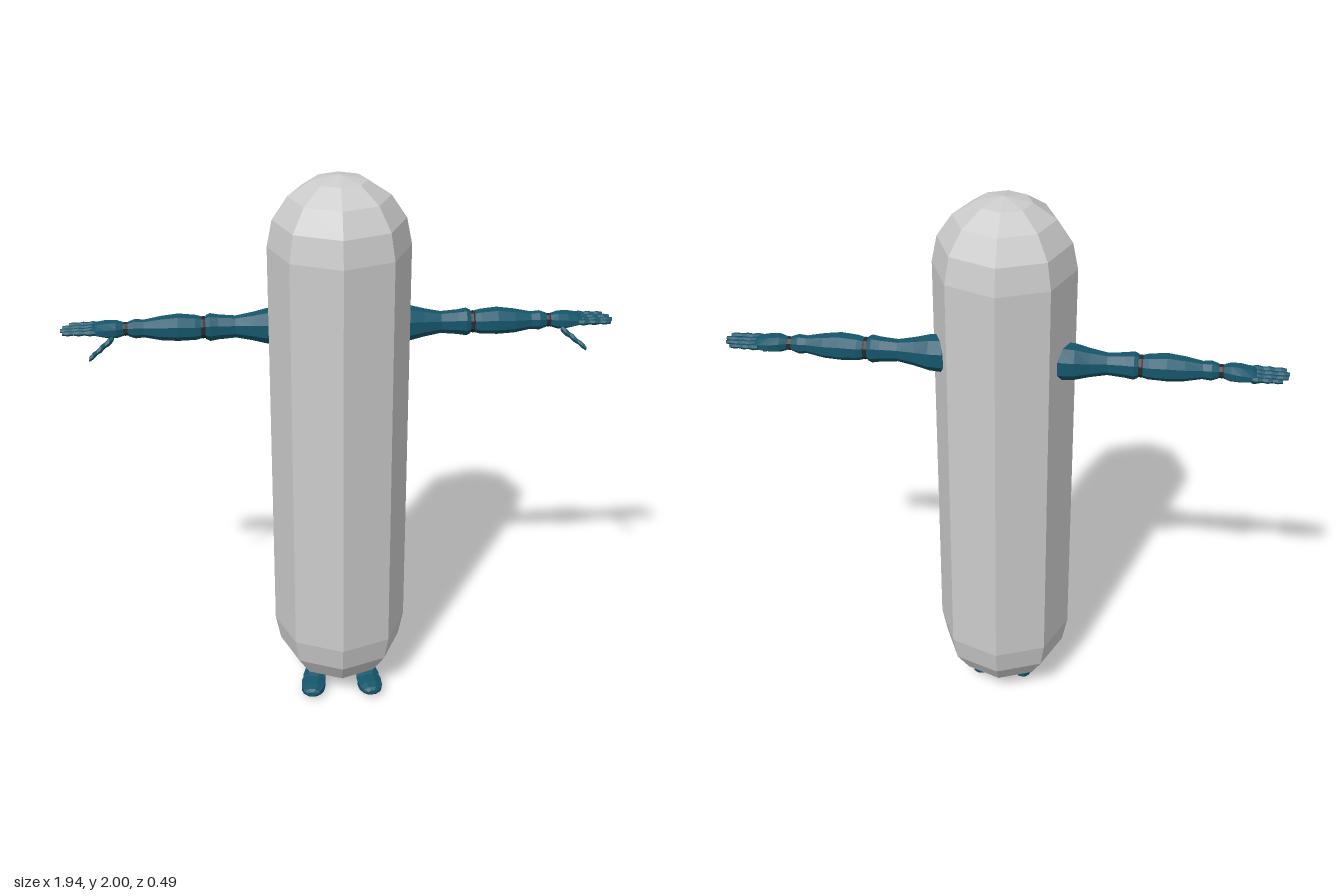
import * as THREE from 'three';

const teal = new THREE.MeshStandardMaterial({ color: 0x15566b, flatShading: true });
const dark = new THREE.MeshStandardMaterial({ color: 0x262b2e, flatShading: true });
const grey = new THREE.MeshStandardMaterial({ color: 0xcccccc, flatShading: true });

// Closed loft along +x; each station is [x, centreY, centreZ, halfHeight, halfDepth]
function loft(name, stations, sides, material = teal) {
  const pos = [], index = [], n = stations.length;
  for (const [x, y, z, h, d] of stations) {
    for (let i = 0; i < sides; i++) {
      const a = ((i + 0.5) / sides) * Math.PI * 2;
      pos.push(x, y + Math.cos(a) * h, z + Math.sin(a) * d);
    }
  }
  for (let s = 0; s < n - 1; s++) {
    for (let i = 0; i < sides; i++) {
      const j = (i + 1) % sides, a = s * sides + i, b = s * sides + j;
      index.push(a, a + sides, b, b, a + sides, b + sides);
    }
  }
  // End caps
  const last = (n - 1) * sides;
  for (let i = 1; i < sides - 1; i++) {
    index.push(0, i, i + 1, last, last + i + 1, last + i);
  }
  const geo = new THREE.BufferGeometry();
  geo.setAttribute('position', new THREE.Float32BufferAttribute(pos, 3));
  // Orient faces outward
  for (let i = 0; i < index.length; i += 3) {
    [index[i + 1], index[i + 2]] = [index[i + 2], index[i + 1]];
  }
  geo.setIndex(index);
  if (signedVolume(pos, index) < 0) geo.setIndex(index.reverse());
  geo.computeVertexNormals();
  const mesh = new THREE.Mesh(geo, material);
  mesh.name = name;
  return mesh;
}

function signedVolume(pos, index) {
  const p = (i) => new THREE.Vector3().fromArray(pos, i * 3);
  let v = 0;
  for (let i = 0; i < index.length; i += 3) {
    v += p(index[i]).dot(p(index[i + 1]).cross(p(index[i + 2])));
  }
  return v;
}

// A finger or thumb: three segments, swelling at the middle of each
function digit(name, from, to, r) {
  const stations = [];
  for (let i = 0; i <= 6; i++) {
    const t = i / 6;
    const c = from.map((v, k) => v + (to[k] - v) * t);
    const s = r * (1 - 0.3 * t) * (i % 2 ? 1 : 0.72);
    stations.push([...c, s, s]);
  }
  return loft(name, stations, 6);
}

function createArm() {
  const arm = new THREE.Group();
  const y = 1.44, z = -0.063;
  arm.add(loft('upperArm', [
    [0.15, y, z, 0.05, 0.055], [0.2, y, z, 0.066, 0.067], [0.25, y, z, 0.062, 0.065],
    [0.3, y, z, 0.05, 0.05], [0.36, y, z, 0.039, 0.036], [0.42, y, z, 0.044, 0.04],
    [0.45, y, z, 0.049, 0.046], [0.465, y, z, 0.042, 0.04],
  ], 8));
  arm.add(loft('elbowJoint', [
    [0.455, y, z, 0.036, 0.036], [0.475, y, z, 0.039, 0.04], [0.495, y, z, 0.034, 0.035],
  ], 8, dark));
  arm.add(loft('forearm', [
    [0.48, y, z, 0.038, 0.042], [0.5, y, z, 0.043, 0.048], [0.56, y + 0.002, z, 0.047, 0.053],
    [0.62, y, z, 0.042, 0.046], [0.68, y, z, 0.031, 0.031], [0.71, y, z, 0.034, 0.034],
    [0.735, y, z, 0.025, 0.026],
  ], 8));
  arm.add(loft('wristJoint', [
    [0.725, y, z, 0.022, 0.022], [0.745, y, z, 0.024, 0.025], [0.765, y, z, 0.02, 0.022],
  ], 8, dark));
  arm.add(loft('palm', [
    [0.75, y, z, 0.023, 0.027], [0.775, y, z, 0.03, 0.042], [0.81, y, z - 0.003, 0.029, 0.048],
    [0.845, y, z - 0.005, 0.022, 0.046], [0.86, y, z - 0.005, 0.014, 0.043],
  ], 8));
  // Little finger at the back, index finger at the front
  [0.945, 0.965, 0.97, 0.96].forEach((tip, i) => {
    const fz = -0.108 + i * 0.026;
    arm.add(digit('finger', [0.845, y + 0.001, fz], [tip, y, fz], 0.0125));
  });
  arm.add(digit('thumb', [0.785, 1.42, -0.032], [0.868, 1.362, 0.018], 0.016));
  return arm;
}

function createFoot() {
  const foot = new THREE.Group();
  foot.add(loft('heelAndInstep', [
    [-0.1, 0.045, 0, 0.012, 0.015], [-0.085, 0.043, 0, 0.024, 0.031], [-0.05, 0.042, 0, 0.027, 0.036],
    [0, 0.04, 0, 0.023, 0.031], [0.05, 0.038, 0, 0.027, 0.038], [0.1, 0.035, 0, 0.03, 0.046],
    [0.125, 0.031, 0, 0.024, 0.044],
  ], 8));
  foot.add(loft('toeCap', [
    [0.1, 0.031, 0, 0.025, 0.043], [0.13, 0.03, 0, 0.028, 0.049], [0.165, 0.03, 0, 0.026, 0.046],
    [0.19, 0.03, 0, 0.019, 0.034], [0.2, 0.03, 0, 0.009, 0.018],
  ], 8));
  foot.position.x = 0.09;
  foot.rotation.y = -Math.PI / 2 + 0.13; // toes forward, slightly outward
  return foot;
}

export function createModel() {
  const model = new THREE.Group();

  // Faceted capsule body
  const body = new THREE.Mesh(new THREE.CapsuleGeometry(0.246, 1.498, 4, 8), grey);
  body.name = 'capsuleBody';
  body.position.y = 1.005;
  model.add(body);

  // Arms and feet, mirrored
  for (const [side, sign] of [['left', 1], ['right', -1]]) {
    for (const [part, make] of [['Arm', createArm], ['Foot', createFoot]]) {
      const limb = new THREE.Group();
      limb.name = side + part;
      limb.add(make());
      limb.scale.x = sign;
      model.add(limb);
    }
  }
  return model;
}
